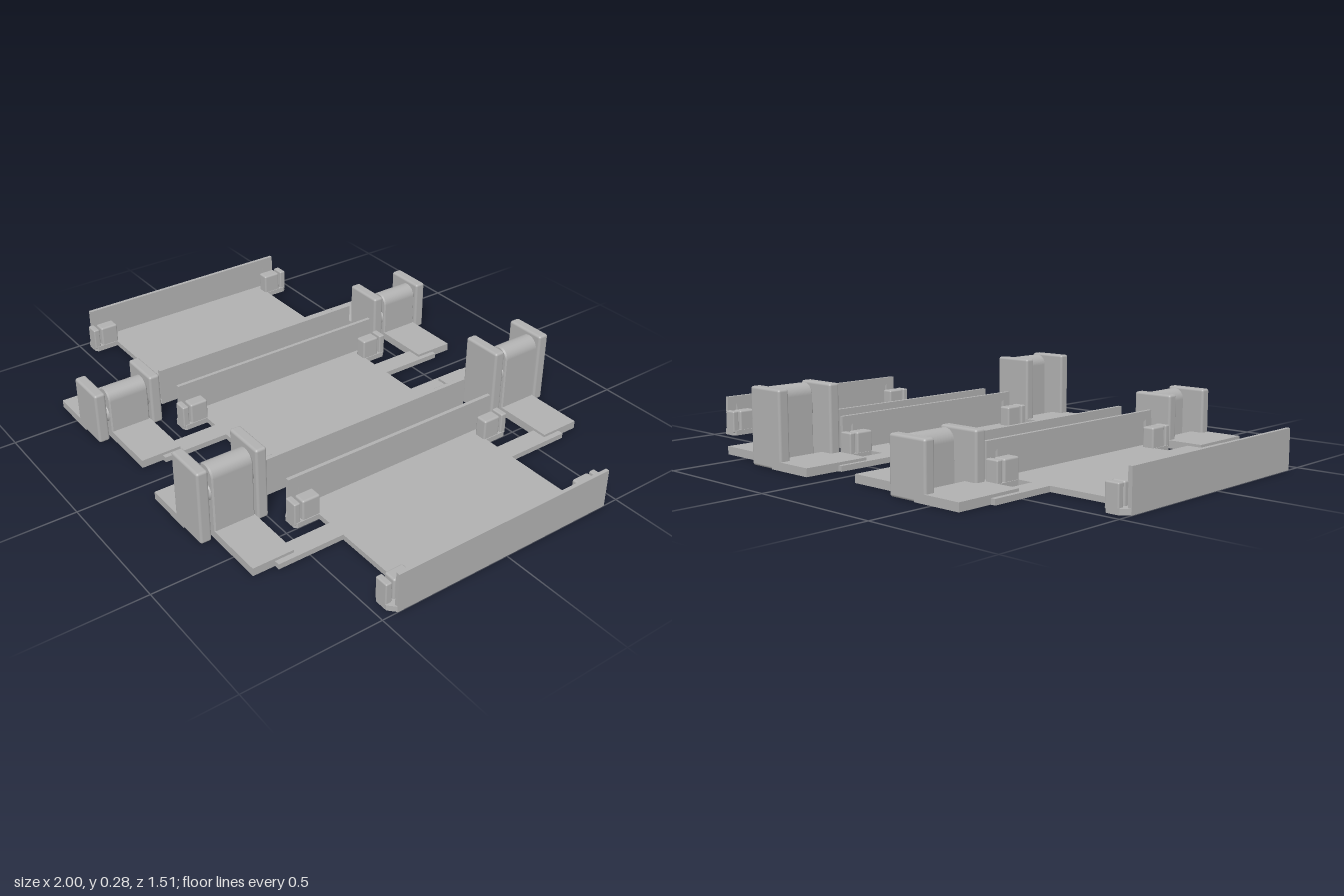
import * as THREE from 'three';
import { RoundedBoxGeometry } from 'three/addons/geometries/RoundedBoxGeometry.js';

const PITCH = 0.7075; // distance between neighbouring trays
const HALF = 0.2925;  // half the width of a tray
const FLOOR = 0.02;
const grey = new THREE.MeshStandardMaterial({ color: 0xb0b0b0 });
grey.name = 'grey';

function add(parent, name, geometry) {
  const mesh = new THREE.Mesh(geometry, grey);
  mesh.name = name;
  parent.add(mesh);
  return mesh;
}

// Box given by its limits; a radius rounds its edges
function box(parent, name, [x0, x1], [y0, y1], [z0, z1], radius = 0) {
  const size = [x1 - x0, y1 - y0, z1 - z0];
  const geometry = radius
    ? new RoundedBoxGeometry(...size, 3, radius)
    : new THREE.BoxGeometry(...size);
  const mesh = add(parent, name, geometry);
  mesh.position.set((x0 + x1) / 2, (y0 + y1) / 2, (z0 + z1) / 2);
  return mesh;
}

// Orders a mirrored range from low to high
const span = (a, b, sign = 1) => [Math.min(a * sign, b * sign), Math.max(a * sign, b * sign)];

// Flat tray with chamfered ears, two side walls, clips at the corners and hinge arms
function makeTray(armSides) {
  const tray = new THREE.Group();
  tray.name = 'tray';

  const quarter = [
    [HALF, 0.44], [HALF - 0.027, 0.465], [HALF - 0.075, 0.465],
    [HALF - 0.085, 0.455], [HALF - 0.085, 0.37],
  ];
  const half = [...quarter, ...quarter.map(([x, z]) => [-x, z]).reverse()];
  const outline = [...half, ...half.map(([x, z]) => [-x, -z])];
  const shape = new THREE.Shape(outline.map(([x, z]) => new THREE.Vector2(x, z)));
  const plate = new THREE.ExtrudeGeometry(shape, { depth: FLOOR, bevelEnabled: false });
  add(tray, 'trayFloor', plate.rotateX(-Math.PI / 2));

  for (const sx of [-1, 1]) {
    box(tray, 'sideWall', span(HALF - 0.014, HALF, sx), [0, 0.145], [-0.442, 0.442]);
    for (const sz of [-1, 1]) {
      box(tray, 'endStop', span(HALF - 0.082, HALF - 0.03, sx), [FLOOR / 2, 0.095], span(0.441, 0.465, sz), 0.005);
      box(tray, 'clipBlock', span(HALF - 0.082, HALF - 0.034, sx), [FLOOR / 2, 0.095], span(0.362, 0.432, sz), 0.007);
      // Thin sprung tab with a sloping top
      const tabShape = new THREE.Shape([
        new THREE.Vector2(0.026, FLOOR), new THREE.Vector2(0.026, 0.12),
        new THREE.Vector2(0.036, 0.11), new THREE.Vector2(0.036, FLOOR),
      ]);
      const tab = add(tray, 'clipTab',
        new THREE.ExtrudeGeometry(tabShape, { depth: 0.034, bevelEnabled: false }));
      tab.position.set(-HALF * sx, 0, sz * 0.397 + sx * -0.017);
      if (sx < 0) {
        // Turned half round so that its slope faces the tray
        tab.rotation.y = Math.PI;
      }
      tab.position.x = sx < 0 ? HALF * sx + 0.062 - 0.0 : HALF - 0.062;
      tab.position.z = sz * 0.397 + (sx < 0 ? 0.017 : -0.017);
      if (sx < 0) tab.position.x = -HALF + 0.062;
    }
  }

  for (const side of armSides) {
    for (const sz of [-1, 1]) {
      box(tray, 'hingeArm', span(0.075, 0.15, side), [0, FLOOR], span(0.36, 0.62, sz));
    }
  }
  return tray;
}

// Folding hinge: forked base, and a leaf with a rounded top held between the cheeks
function makeHinge(height) {
  const hinge = new THREE.Group();
  hinge.name = 'hinge';
  const thick = 0.03;

  box(hinge, 'basePlate', [-0.26, -0.07], [0, thick], [-0.13, 0.13]);
  for (const sz of [-1, 1]) {
    box(hinge, 'cheek', [-0.12, 0.04], [0, height], span(0.088, 0.13, sz), 0.009);
    // Cone pivot between cheek and leaf
    const pivot = add(hinge, 'pivot', new THREE.CylinderGeometry(0.022, 0.035, 0.016, 24));
    pivot.rotation.x = sz * Math.PI / 2;
    pivot.position.set(0, height - 0.105, sz * 0.082);
  }

  box(hinge, 'leafPlate', [-0.03, 0.262], [0, thick], [-0.077, 0.077]);
  const r = 0.04;
  const profile = new THREE.Shape();
  profile.moveTo(-r, 0);
  profile.lineTo(r, 0);
  profile.lineTo(r, height - r - 0.003);
  profile.absarc(0, height - r - 0.003, r, 0, Math.PI, false);
  profile.closePath();
  const leaf = add(hinge, 'leaf', new THREE.ExtrudeGeometry(profile, {
    depth: 0.144, curveSegments: 20, bevelSize: 0.005, bevelOffset: -0.005,
    bevelThickness: 0.005, bevelSegments: 1,
  }));
  leaf.position.z = -0.072;
  return hinge;
}

export function createModel() {
  const model = new THREE.Group();
  model.name = 'hingedTrays';

  // Outer trays have arms only on the side facing the middle
  [[1], [-1, 1], [-1]].forEach((arms, i) => {
    const tray = makeTray(arms);
    tray.position.x = (i - 1) * PITCH;
    model.add(tray);
  });

  // The two joints fold at different heights
  [[-0.355, 0.198], [0.35, 0.276]].forEach(([x, height]) => {
    for (const sz of [-1, 1]) {
      const hinge = makeHinge(height);
      hinge.position.set(x, 0, sz * 0.625);
      model.add(hinge);
    }
  });
  return model;
}
